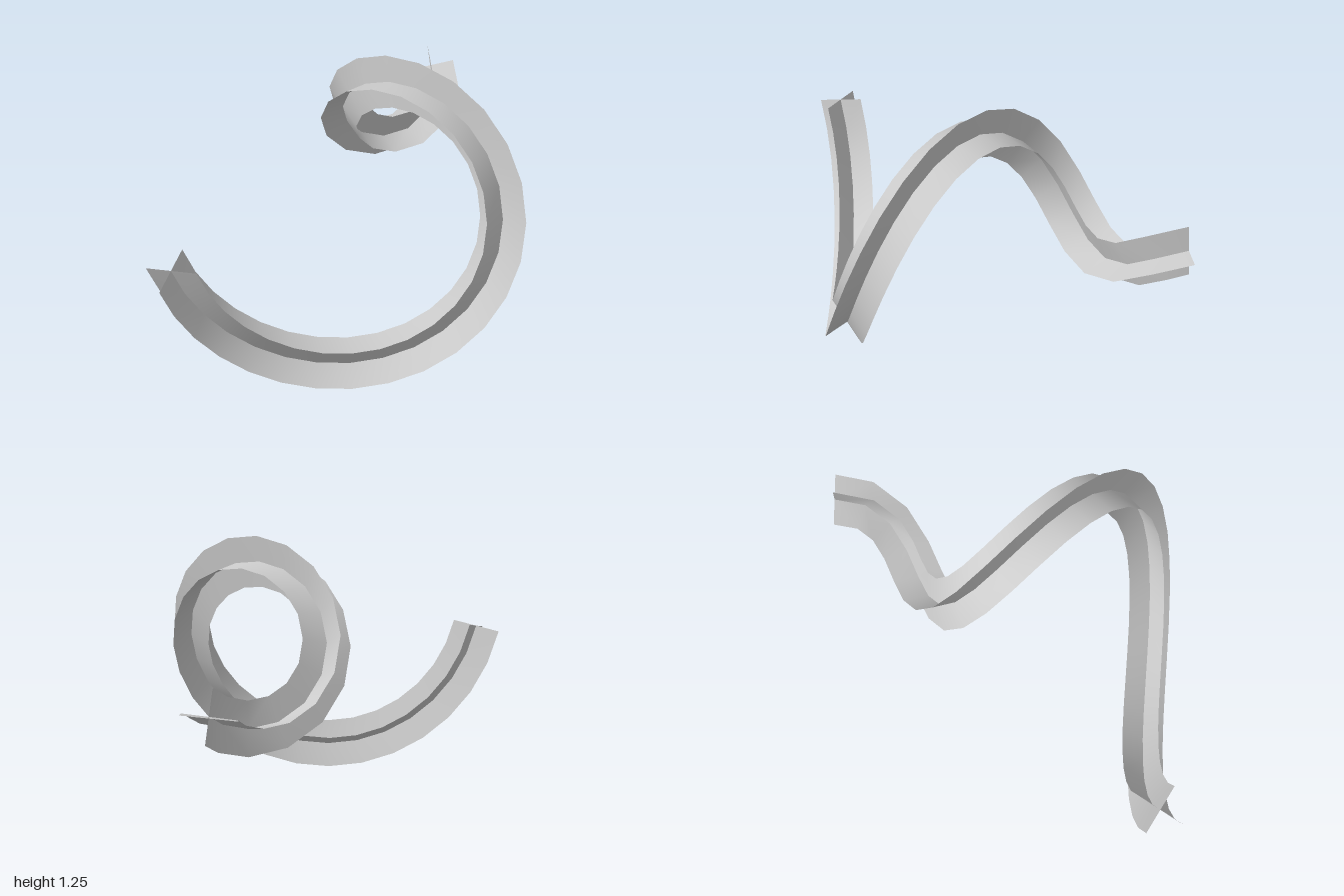
import * as THREE from 'three';

// Conical spiral running back along z while its radius shrinks to almost nothing
class SpiralPath extends THREE.Curve {
  getPoint(t, target = new THREE.Vector3()) {
    const angle = THREE.MathUtils.degToRad(184.8 + 540 * t);
    const radius = THREE.MathUtils.lerp(0.75, 0.018, t);
    return target.set(
      0.122 + radius * Math.cos(angle),
      0.733 + radius * Math.sin(angle),
      THREE.MathUtils.lerp(0.888, -0.95, t)
    );
  }
}

const SEGMENTS = 30;
const FIN_WIDTH = 0.116;
const START_ROLL = THREE.MathUtils.degToRad(8);

// One thin fin reaching from the path outward at a fixed angle in the moving frame
function finGeometry(path, frames, angle) {
  const positions = [];
  const indices = [];
  for (let i = 0; i <= SEGMENTS; i++) {
    const centre = path.getPointAt(i / SEGMENTS);
    const edge = centre.clone()
      .addScaledVector(frames.normals[i], FIN_WIDTH * Math.cos(angle))
      .addScaledVector(frames.binormals[i], FIN_WIDTH * Math.sin(angle));
    positions.push(...centre.toArray(), ...edge.toArray());
    if (i < SEGMENTS) {
      const a = i * 2;
      indices.push(a, a + 1, a + 2, a + 1, a + 3, a + 2);
    }
  }
  const geometry = new THREE.BufferGeometry();
  geometry.setAttribute('position', new THREE.Float32BufferAttribute(positions, 3));
  geometry.setIndex(indices);
  geometry.computeVertexNormals();
  return geometry;
}

export function createModel() {
  const group = new THREE.Group();
  group.name = 'crossSectionSpiral';
  const material = new THREE.MeshStandardMaterial({ color: 0xcccccc, side: THREE.DoubleSide });
  const path = new SpiralPath();
  const frames = path.computeFrenetFrames(SEGMENTS, false);

  // Four fins at right angles form the plus-shaped section
  for (let k = 0; k < 4; k++) {
    const fin = new THREE.Mesh(finGeometry(path, frames, START_ROLL + k * Math.PI / 2), material);
    fin.name = `spiralFin${k + 1}`;
    group.add(fin);
  }
  return group;
}
